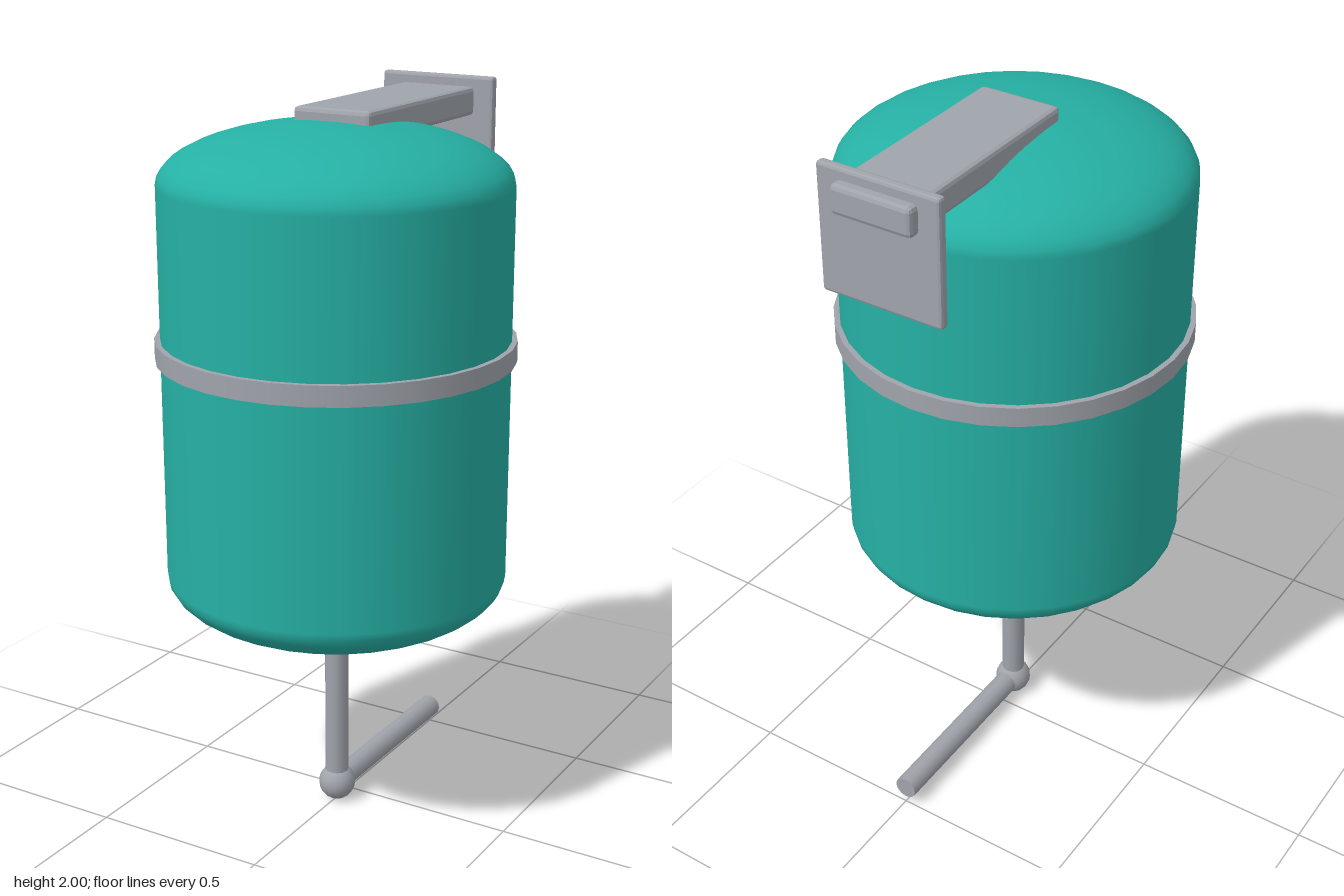
import * as THREE from 'three';
import { RoundedBoxGeometry } from 'three/addons/geometries/RoundedBoxGeometry.js';

const TANK_Z = 0.065, PIPE_Y = 0.052;

export function createModel() {
  const group = new THREE.Group();
  const teal = new THREE.MeshStandardMaterial({ color: 0x26b0a4 });
  teal.name = 'teal paint';
  const grey = new THREE.MeshStandardMaterial({ color: 0xa0a4ab });
  grey.name = 'grey metal';

  const add = (name, geometry, material, x, y, z) => {
    const mesh = new THREE.Mesh(geometry, material);
    mesh.name = name;
    mesh.position.set(x, y, z);
    group.add(mesh);
    return mesh;
  };

  // Box with flat chamfered edges
  const chamferBox = (w, h, d, bevel) => {
    const geometry = new RoundedBoxGeometry(w, h, d, 1, bevel);
    geometry.computeVertexNormals();
    return geometry;
  };

  // Tank: straight wall between two elliptical domes
  const radius = 0.465, dome = 0.16, bottom = 0.555, top = 1.94, steps = 12;
  const profile = [];
  for (let i = 0; i <= steps; i++) {
    const a = (i / steps) * Math.PI / 2;
    profile.push(new THREE.Vector2(radius * Math.sin(a), bottom + dome * (1 - Math.cos(a))));
  }
  for (let i = steps; i >= 0; i--) {
    const a = (i / steps) * Math.PI / 2;
    profile.push(new THREE.Vector2(radius * Math.sin(a), top - dome * (1 - Math.cos(a))));
  }
  add('tank', new THREE.LatheGeometry(profile, 32), teal, 0, 0, TANK_Z);

  // Strap around the tank
  add('strap', new THREE.CylinderGeometry(0.48, 0.48, 0.055, 32), grey, 0, 1.347, TANK_Z);

  // Top arm and wall plate
  add('mountingArm', chamferBox(0.228, 0.078, 0.635, 0.012), grey, 0, 1.932, -0.2275);
  add('wallPlate', chamferBox(0.346, 0.342, 0.028, 0.008), grey, 0, 1.829, -0.5);

  // Outlet pipes with a ball elbow
  add('verticalPipe', new THREE.CylinderGeometry(0.033, 0.033, 0.6, 12), grey, 0, PIPE_Y + 0.3, TANK_Z);
  add('elbow', new THREE.SphereGeometry(0.052, 16, 12), grey, 0, PIPE_Y, TANK_Z);
  const length = TANK_Z + 0.5;
  add('horizontalPipe', new THREE.CylinderGeometry(0.033, 0.033, length, 12), grey, 0, PIPE_Y, TANK_Z - length / 2)
    .rotation.x = Math.PI / 2;

  return group;
}
